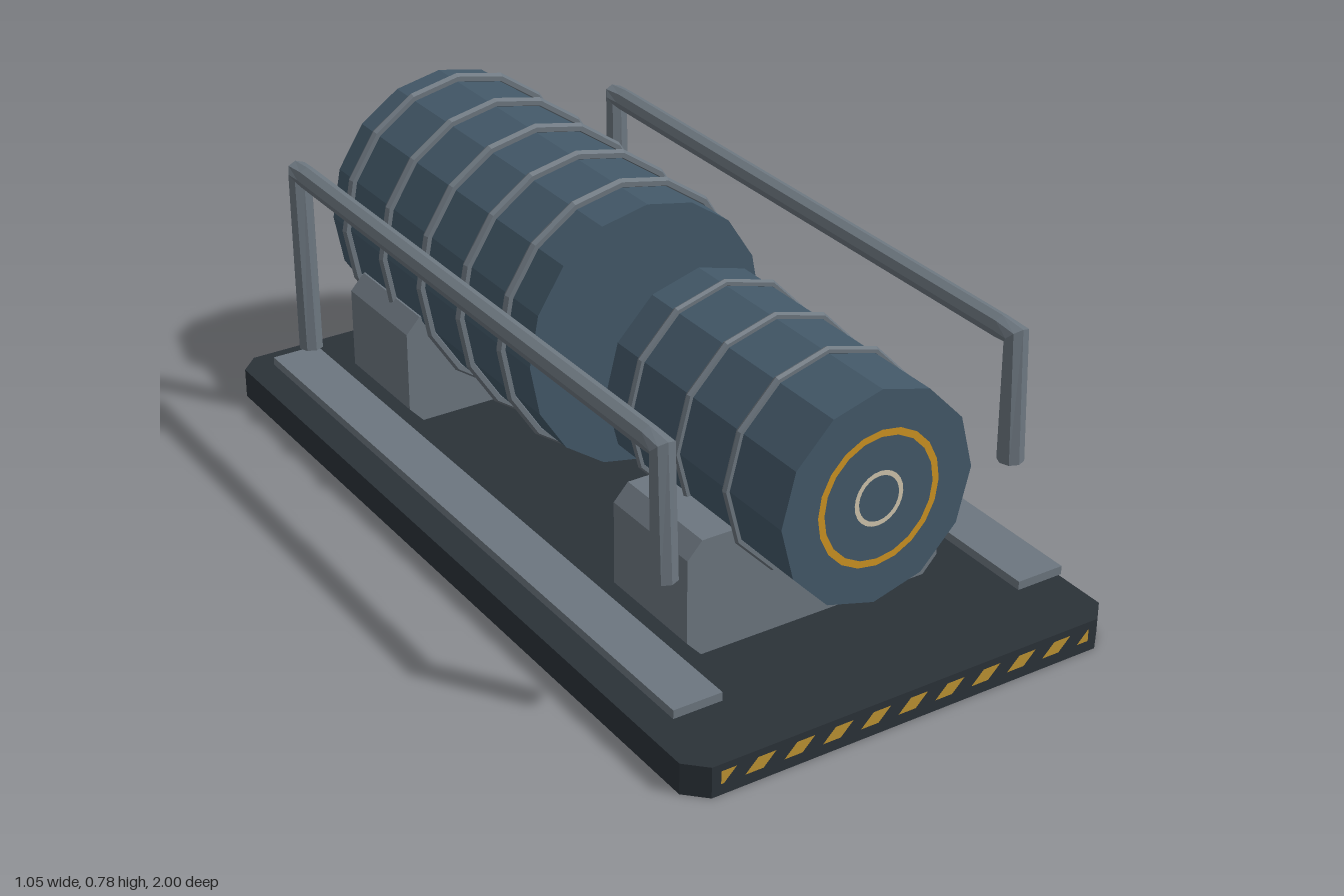
import * as THREE from 'three';

const SQUASH = 0.96; // drums are slightly narrower than tall
const AXIS_Y = 0.448;

function material(name, color, extra = {}) {
  const m = new THREE.MeshStandardMaterial({ color, flatShading: true, ...extra });
  m.name = name;
  return m;
}

// Rectangle with cut corners, extruded along z and centred
function chamferedBlock(w, h, d, cx, cy = cx) {
  const x = w / 2, y = h / 2;
  const pts = [[x - cx, -y], [x, -y + cy], [x, y - cy], [x - cx, y],
    [-x + cx, y], [-x, y - cy], [-x, -y + cy], [-x + cx, -y]];
  const shape = new THREE.Shape(pts.map(p => new THREE.Vector2(...p)));
  return new THREE.ExtrudeGeometry(shape, { depth: d, bevelEnabled: false }).translate(0, 0, -d / 2);
}

// Eight-sided bent tube in the yz plane; each station is [z, y, tangent angle, radius]
function bentTube(stations, sides = 8) {
  const pos = [], index = [];
  for (const [z, y, angle, r] of stations) {
    for (let j = 0; j < sides; j++) {
      const a = (j / sides) * Math.PI * 2;
      const n = r * Math.sin(a);
      pos.push(r * Math.cos(a), y + n * Math.cos(angle), z + n * Math.sin(angle));
    }
  }
  for (let i = 0; i < stations.length - 1; i++) {
    for (let j = 0; j < sides; j++) {
      const a = i * sides + j, b = i * sides + (j + 1) % sides;
      index.push(a, a + sides, b, b, a + sides, b + sides);
    }
  }
  const g = new THREE.BufferGeometry();
  g.setAttribute('position', new THREE.Float32BufferAttribute(pos, 3));
  g.setIndex(index);
  g.computeVertexNormals();
  return g;
}

export function createModel() {
  const model = new THREE.Group();
  model.name = 'drumAssembly';

  const darkSteel = material('darkSteel', 0x2b3238);
  const blueSteel = material('blueSteel', 0x435868);
  const greySteel = material('greySteel', 0x6c767f);
  const tubeSteel = material('tubeSteel', 0x6c767f, { side: THREE.DoubleSide });
  const amber = material('amber', 0xcc9222);
  const hazardYellow = material('hazardYellow', 0xbd9232);
  const cream = material('cream', 0xcfc4ac);

  const add = (name, geometry, mat, x = 0, y = 0, z = 0, parent = model) => {
    const mesh = new THREE.Mesh(geometry, mat);
    mesh.name = name;
    mesh.position.set(x, y, z);
    parent.add(mesh);
    return mesh;
  };

  // Base plate
  add('basePlate', chamferedBlock(1.05, 2, 0.072, 0.045).rotateX(-Math.PI / 2), darkSteel, 0, 0.036, 0);

  // Hazard stripes on the front edge
  const stripes = new THREE.Group();
  stripes.name = 'hazardStripes';
  model.add(stripes);
  const clampX = x => THREE.MathUtils.clamp(x, -0.459, 0.459);
  for (let k = -1; k < 10; k++) {
    const x = -0.403 + 0.0925 * k;
    const shape = new THREE.Shape([[x, 0.026], [x + 0.043, 0.026], [x + 0.073, 0.056], [x + 0.03, 0.056]]
      .map(([px, py]) => new THREE.Vector2(clampX(px), py)));
    add('hazardStripe', new THREE.ShapeGeometry(shape), hazardYellow, 0, 0, 1.001, stripes);
  }

  // Saddles carrying the drums
  for (const [name, z] of [['frontSaddle', 0.53], ['rearSaddle', -0.637]]) {
    add(name, chamferedBlock(0.636, 0.27, 0.275, 0.035, 0.038), greySteel, 0, 0.208, z);
  }

  // Drums, bands and shaft share one axis
  const axle = new THREE.Group();
  axle.name = 'axle';
  axle.position.y = AXIS_Y;
  axle.scale.x = SQUASH;
  model.add(axle);

  const cylinder = (name, r, z0, z1, sides, mat) => add(name,
    new THREE.CylinderGeometry(r, r, z1 - z0, sides).rotateX(Math.PI / 2), mat, 0, 0, (z0 + z1) / 2, axle);
  const bands = (name, r, tube, sides, zs) => {
    for (const z of zs) add(name, new THREE.TorusGeometry(r, tube, 6, sides), greySteel, 0, 0, z, axle);
  };

  cylinder('frontDrum', 0.242, 0.225, 0.863, 12, blueSteel);
  bands('frontDrumBand', 0.247, 0.0085, 12, [0.68, 0.502, 0.322]);
  cylinder('rearDrum', 0.311, -0.888, 0.027, 16, blueSteel);
  bands('rearDrumBand', 0.319, 0.0115, 16, [-0.083, -0.263, -0.443, -0.624, -0.805]);
  cylinder('shaft', 0.053, 0, 0.25, 8, greySteel);

  // Painted rings on the front face
  const faceRing = (name, inner, outer, sides, mat) =>
    add(name, new THREE.RingGeometry(inner, outer, sides), mat, 0, 0, 0.866, axle);
  faceRing('amberRing', 0.138, 0.154, 20, amber);
  faceRing('creamRing', 0.051, 0.062, 24, cream);

  // Handrails and side strips, mirrored
  const Q = Math.PI / 4, R = 0.029;
  const railPath = [
    [0.754, 0.35, 2 * Q, 0], [0.754, 0.35, 2 * Q, R],
    [0.746, 0.637, Q, R], [0.7, 0.637, 0, R * 0.9],
    [-0.74, 0.637, 0, R * 0.9], [-0.78, 0.637, -Q, R],
    [-0.775, 0.19, -2 * Q, R], [-0.775, 0.19, -2 * Q, 0],
  ];
  for (const [side, s] of [['left', 1], ['right', -1]]) {
    add(side + 'Handrail', bentTube(railPath), tubeSteel, s * 0.43, 0, 0);
    add(side + 'Strip', new THREE.BoxGeometry(0.115, 0.02, 1.743), greySteel, s * 0.429, 0.123, 0.003);
  }

  return model;
}
